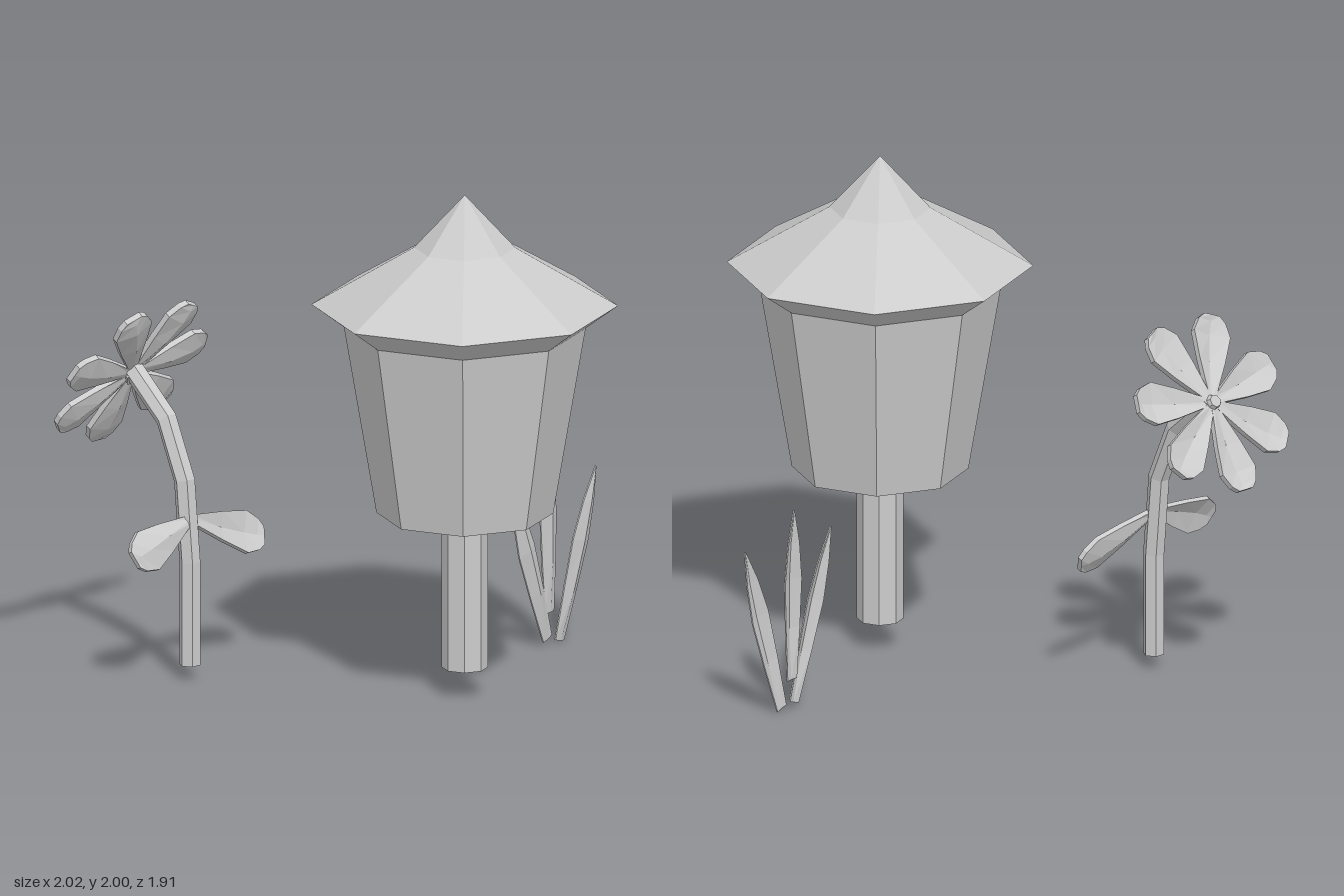
import * as THREE from 'three';

const mat = new THREE.MeshStandardMaterial({ color: 0xcccccc, flatShading: true, side: THREE.DoubleSide });
const V = (x, y, z) => new THREE.Vector3(x, y, z);

// Skin a list of equal-length closed rings, with both ends capped
function loft(rings) {
  const n = rings[0].length, index = [];
  for (let r = 0; r < rings.length - 1; r++) {
    for (let i = 0; i < n; i++) {
      const a = r * n + i, b = r * n + (i + 1) % n;
      index.push(a, b, b + n, a, b + n, a + n);
    }
  }
  const last = (rings.length - 1) * n;
  for (let i = 1; i < n - 1; i++) index.push(0, i + 1, i, last, last + i, last + i + 1);
  const geo = new THREE.BufferGeometry().setFromPoints(rings.flat());
  geo.setIndex(index);
  geo.computeVertexNormals();
  return geo;
}

function add(parent, name, geo) {
  const mesh = new THREE.Mesh(geo, mat);
  mesh.name = name;
  parent.add(mesh);
  return mesh;
}

// Folded blade from base to tip; profile rows are [position along, half width, fold height]
function blade(base, tip, sideHint, profile, thick) {
  const along = tip.clone().sub(base);
  const dir = along.clone().normalize();
  const n = dir.clone().cross(sideHint).normalize();
  const side = n.clone().cross(dir);
  return loft(profile.map(([t, w, fold]) => {
    const c = base.clone().addScaledVector(along, t);
    return [[w, -thick], [w, thick], [0, thick + fold], [-w, thick], [-w, -thick], [0, fold - thick]]
      .map(([s, h]) => c.clone().addScaledVector(side, s).addScaledVector(n, h));
  }));
}

const PETAL = [[0, 0.015, 0], [0.45, 0.06, -0.02], [0.77, 0.085, -0.02], [0.93, 0.062, -0.01], [1, 0.035, 0]];
const GRASS = [[0, 0.03, 0.005], [0.3, 0.045, 0.018], [0.58, 0.054, 0.02], [0.8, 0.036, 0.014], [1, 0.002, 0]];

function makeLantern() {
  const g = new THREE.Group();
  g.name = 'lantern';
  g.position.x = 0.405;
  const lathe = (name, pts) =>
    add(g, name, new THREE.LatheGeometry(pts.map(p => new THREE.Vector2(...p)), 8));
  lathe('body', [[0, 0.73], [0.34, 0.73], [0.465, 1.47], [0.59, 1.56]]);
  lathe('roof', [[0.59, 1.56], [0.195, 1.79], [0, 2]]);
  lathe('post', [[0.09, 0.115], [0.09, 0.73]]);
  return g;
}

function makeFlower() {
  const g = new THREE.Group();
  g.name = 'flower';
  // Bent six-sided stem
  const path = [[-0.495, 0.06], [-0.495, 0.47], [-0.525, 0.79], [-0.625, 1.015], [-0.82, 1.185]];
  add(g, 'stem', loft(path.map(([x, y], i) => {
    const p = path[Math.max(i - 1, 0)], q = path[Math.min(i + 1, path.length - 1)];
    const dir = V(q[0] - p[0], q[1] - p[1], 0).normalize();
    const out = V(dir.y, -dir.x, 0);
    return Array.from({ length: 6 }, (_, k) => {
      const a = (k + 0.5) * Math.PI / 3;
      return V(x, y, 0.6).addScaledVector(out, 0.042 * Math.cos(a))
        .add(V(0, 0, -0.042 * Math.sin(a)));
    });
  })));

  // Tilted head with seven petals
  const c = V(-0.82, 1.165, 0.6), up = V(0.53, 0.85, 0).normalize();
  const normal = V(-up.y, up.x, 0);
  for (let i = 0; i < 7; i++) {
    const a = (i + 0.5) * Math.PI * 2 / 7;
    const dir = up.clone().multiplyScalar(Math.cos(a)).add(V(0, 0, Math.sin(a)));
    const base = c.clone().addScaledVector(dir, 0.02), tip = c.clone().addScaledVector(dir, 0.36);
    add(g, 'petal', blade(base, tip, normal.clone().cross(dir), PETAL, 0.012));
  }
  const centre = add(g, 'flowerCentre', new THREE.CylinderGeometry(0.025, 0.045, 0.06, 7));
  centre.position.copy(c);
  centre.quaternion.setFromUnitVectors(V(0, 1, 0), normal);

  // Pair of stem leaves
  for (const tip of [V(-0.475, 0.54, 0.915), V(-0.475, 0.505, 0.23)]) {
    add(g, 'stemLeaf', blade(V(-0.495, 0.64, 0.6), tip, V(-0.4, 0.9, 0), PETAL, 0.01));
  }
  return g;
}

function makeGrass() {
  const g = new THREE.Group();
  g.name = 'grass';
  const blades = [
    [V(0.105, 0.025, -0.73), V(0.14, 0.68, -0.505)],
    [V(0.095, 0.125, -0.75), V(0.1, 0.81, -0.735)],
    [V(0.115, 0.01, -0.785), V(0.145, 0.68, -0.95)],
  ];
  for (const [base, tip] of blades) {
    add(g, 'grassBlade', blade(base, tip, V(0.2, 0, 1), GRASS, 0.003));
  }
  return g;
}

export function createModel() {
  const model = new THREE.Group();
  model.name = 'gardenLantern';
  model.add(makeLantern(), makeFlower(), makeGrass());
  return model;
}
